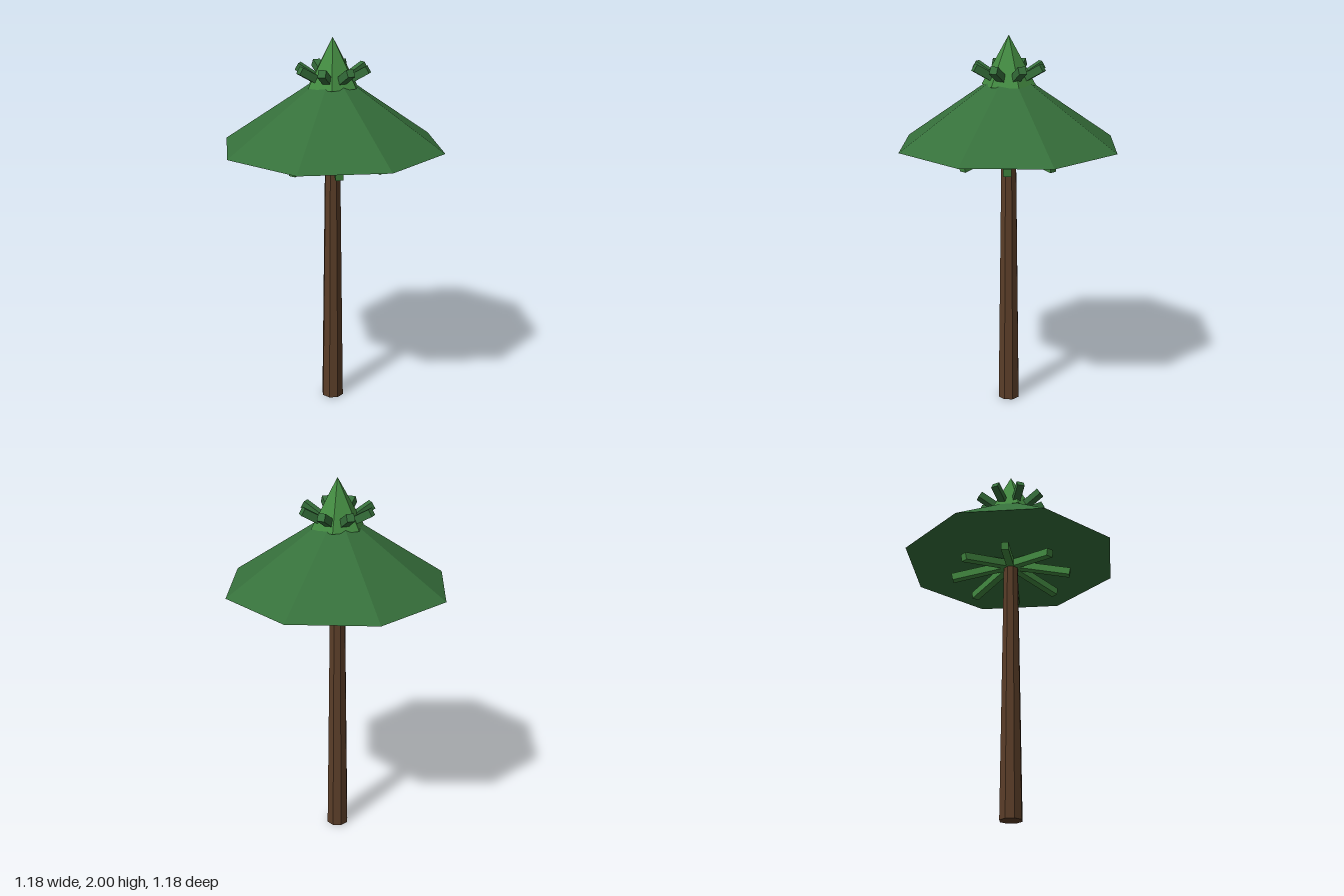
import * as THREE from 'three';

const mat = (color) => new THREE.MeshStandardMaterial({ color, flatShading: true });

// Ring of square twigs growing outwards from the centre axis
function twigRing(name, { y, length, slope, turn, material }) {
  const ring = new THREE.Group();
  ring.name = name;
  const geo = new THREE.BoxGeometry(length, 0.04, 0.04);
  geo.translate(length / 2, 0, 0);
  geo.rotateZ(slope);
  for (let i = 0; i < 8; i++) {
    const twig = new THREE.Mesh(geo, material);
    twig.name = 'twig';
    twig.position.y = y;
    twig.rotation.y = turn + (i * Math.PI) / 4;
    ring.add(twig);
  }
  return ring;
}

export function createModel() {
  const group = new THREE.Group();
  group.name = 'tree';
  const bark = mat(0x5a3d28);
  const leaf = mat(0x36703b);
  const brightLeaf = mat(0x438a41);

  const add = (name, geo, material, y, turn = 0) => {
    const mesh = new THREE.Mesh(geo, material);
    mesh.name = name;
    mesh.position.y = y;
    mesh.rotation.y = turn;
    group.add(mesh);
  };

  // Tapered eight-sided trunk
  add('trunk', new THREE.CylinderGeometry(0.04, 0.06, 1.46, 8), bark, 0.73);

  // Broad canopy and the small pointed crown on top
  add('canopy', new THREE.ConeGeometry(0.59, 0.4, 8), leaf, 1.64);
  add('crown', new THREE.ConeGeometry(0.14, 0.25, 6), brightLeaf, 1.875, Math.PI / 6);

  // Drooping branches under the canopy, upright twigs around the crown
  group.add(twigRing('lowerBranches', {
    y: 1.43, length: 0.33, slope: -0.2, turn: Math.PI / 8, material: brightLeaf,
  }));
  group.add(twigRing('crownTwigs', {
    y: 1.738, length: 0.214, slope: Math.PI / 6, turn: 0, material: leaf,
  }));
  return group;
}
